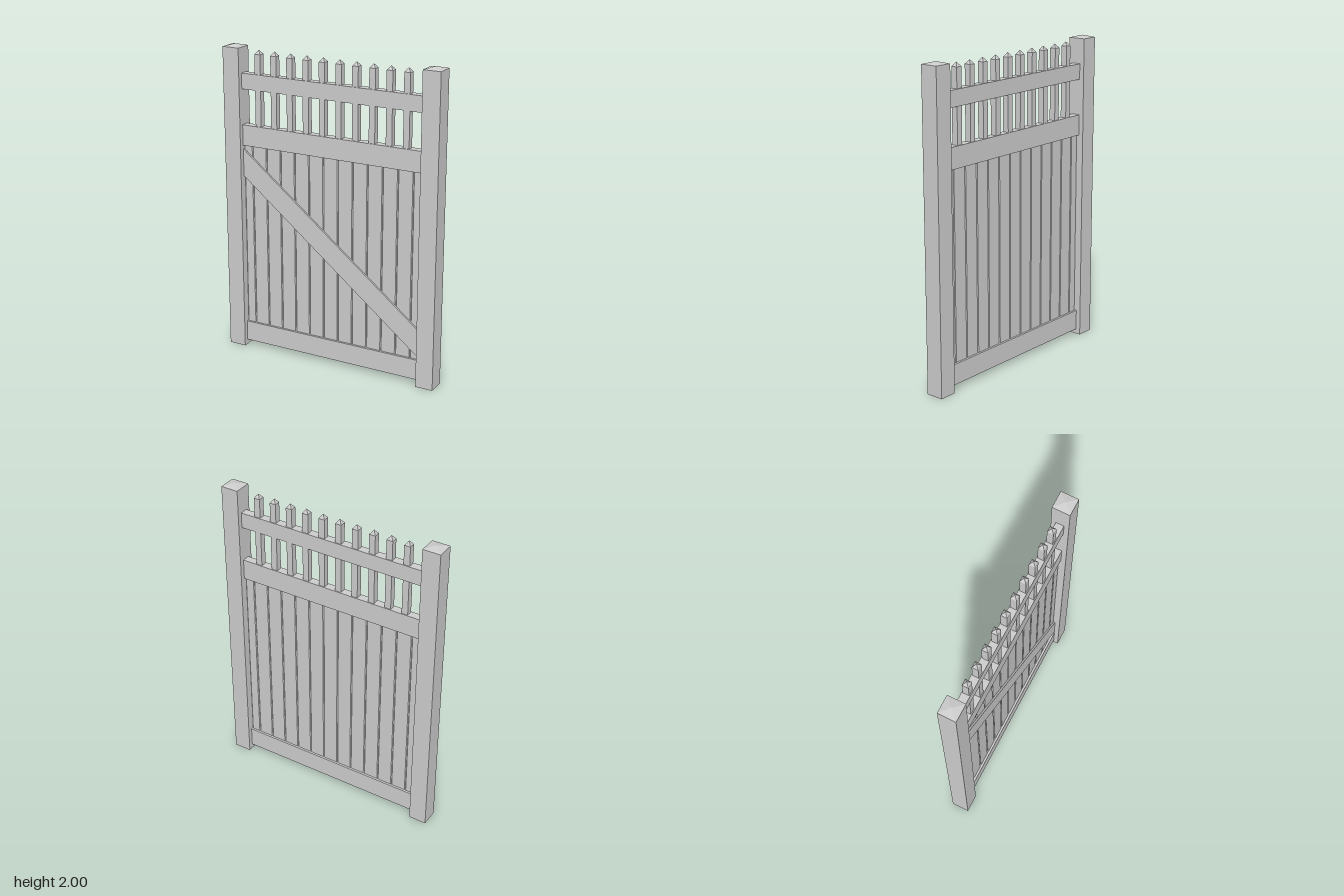
import * as THREE from 'three';

const material = new THREE.MeshStandardMaterial({ color: 0xcccccc, flatShading: true });

export function createModel() {
  const gate = new THREE.Group();
  gate.name = 'gate';

  const add = (name, geometry, x = 0, y = 0, z = 0) => {
    const mesh = new THREE.Mesh(geometry, material);
    mesh.name = name;
    mesh.position.set(x, y, z);
    gate.add(mesh);
    return mesh;
  };

  // Square upright with a four-sided pointed top
  const upright = (name, x, size, bottom, shoulder, tip) => {
    add(name, new THREE.BoxGeometry(size, shoulder - bottom, size), x, (bottom + shoulder) / 2);
    const cap = new THREE.ConeGeometry(size / Math.SQRT2, tip - shoulder, 4, 1, true);
    cap.rotateY(Math.PI / 4);
    add(name + 'Cap', cap, x, (shoulder + tip) / 2);
  };

  const extrude = (points, depth) => new THREE.ExtrudeGeometry(
    new THREE.Shape(points.map(([x, y]) => new THREE.Vector2(x, y))),
    { depth, bevelEnabled: false });

  // Posts
  const inner = 0.62;
  for (const side of [-1, 1]) upright(side < 0 ? 'rightPost' : 'leftPost', side * 0.677, 0.114, 0, 1.985, 2);

  // Horizontal rails
  const rails = [['bottomRail', 0.032, 0.164], ['middleRail', 1.363, 1.496], ['topRail', 1.725, 1.825]];
  for (const [name, low, high] of rails) {
    add(name, new THREE.BoxGeometry(inner * 2, high - low, 0.052), 0, (low + high) / 2);
  }

  // Pickets
  for (let i = 0; i < 10; i++) upright('picket', -0.507 + i * 0.1127, 0.04, 1.45, 1.95, 1.976);

  // Panel boards, chamfered so that V grooves show on both faces
  const pitch = 0.1013, half = 0.012, c = 0.005;
  const seams = [-inner];
  for (let i = 0; i < 12; i++) seams.push((i - 5.5) * pitch);
  seams.push(inner);
  for (let i = 0; i < 13; i++) {
    const a = seams[i], b = seams[i + 1];
    const board = extrude([
      [a, -half + c], [a + c, -half], [b - c, -half], [b, -half + c],
      [b, half - c], [b - c, half], [a + c, half], [a, half - c],
    ], 1.24);
    board.rotateX(-Math.PI / 2);
    add('panelBoard', board, 0, 0.14);
  }

  // Diagonal brace on the front
  add('brace', extrude([[-inner, 1.163], [inner, 0.18], [inner, 0.357], [-inner, 1.34]], 0.024));

  return gate;
}
